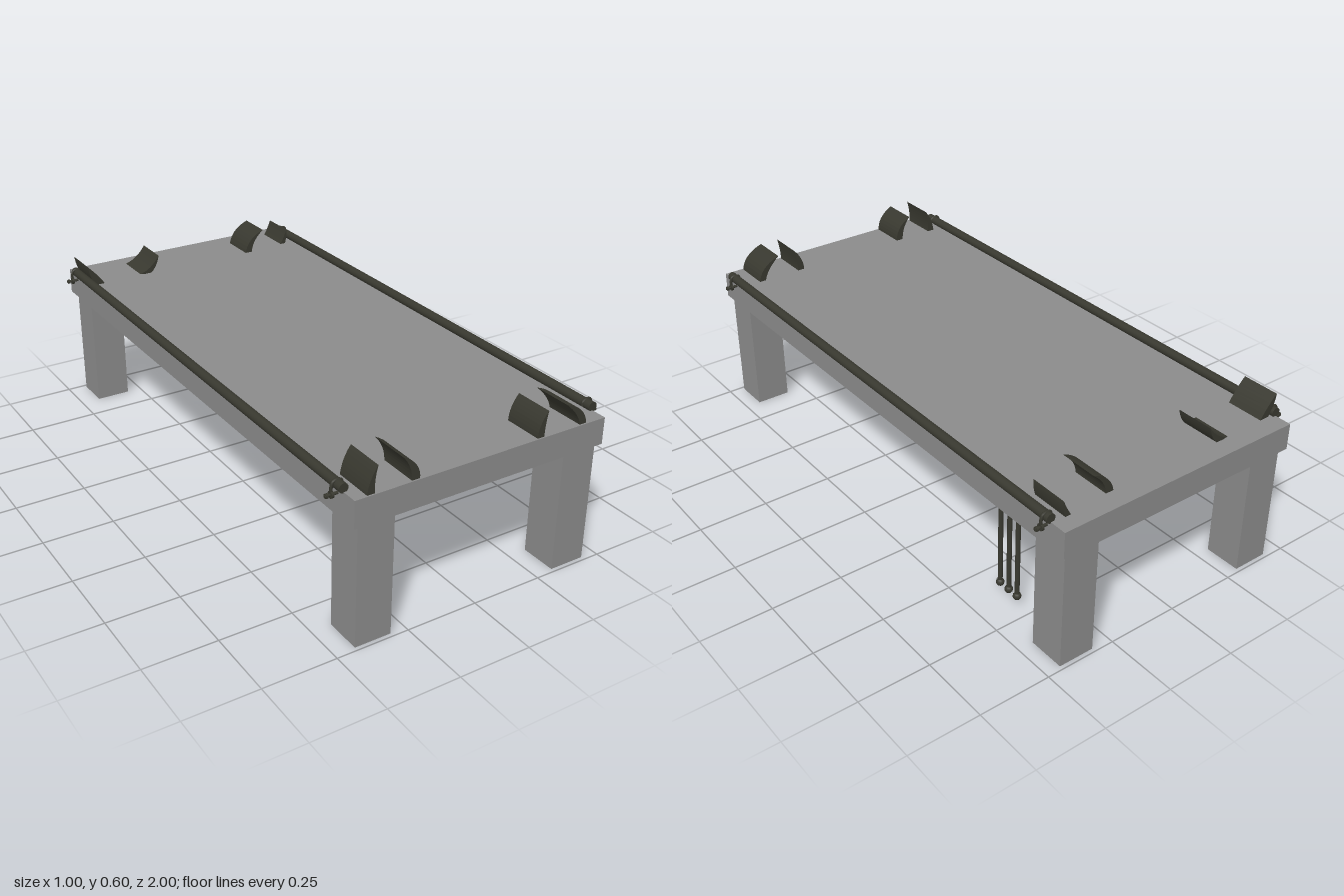
import * as THREE from 'three';

const grey = new THREE.MeshStandardMaterial({ color: 0x8a8a8a });
grey.name = 'stone grey';
const dark = new THREE.MeshStandardMaterial({ color: 0x38382f });
dark.name = 'dark metal';

function add(parent, name, geometry, material, x = 0, y = 0, z = 0) {
  const mesh = new THREE.Mesh(geometry, material);
  mesh.name = name;
  mesh.position.set(x, y, z);
  parent.add(mesh);
  return mesh;
}

// Curved, tapering restraint plate: profile in x/y, extruded along z.
// tip, upper control, two base points, lower control
function restraint(parent, name, [tip, c1, baseA, baseB, c2], z, depth) {
  const s = new THREE.Shape();
  s.moveTo(...tip);
  s.quadraticCurveTo(...c1, ...baseA);
  s.lineTo(...baseB);
  s.quadraticCurveTo(...c2, ...tip);
  const g = new THREE.ExtrudeGeometry(s, { depth, bevelEnabled: false, curveSegments: 8 });
  add(parent, name, g, dark, 0, 0, z);
}

// Hook that wraps over a side rail, with a bolt into the slab edge
function railBracket(parent, side, x, z) {
  const bracket = new THREE.Group();
  bracket.name = 'railBracket';
  bracket.position.set(x, 0, z);
  const path = new THREE.CatmullRomCurve3([
    [-0.014, 0.518], [-0.013, 0.532], [0, 0.538], [0.015, 0.535], [0.021, 0.52], [0.021, 0.492],
  ].map(([px, py]) => new THREE.Vector3(px * side, py, 0)));
  add(bracket, 'hook', new THREE.TubeGeometry(path, 18, 0.005, 8), dark);
  const bolt = (name, r, len, bx) => {
    add(bracket, name, new THREE.CylinderGeometry(r, r, len, 10), dark, bx * side, 0.495, 0).rotation.z = Math.PI / 2;
  };
  bolt('boltShaft', 0.005, 0.05, 0.018);
  bolt('boltWasher', 0.012, 0.008, 0.021);
  bolt('boltHead', 0.008, 0.007, 0.037);
  parent.add(bracket);
}

export function createModel() {
  const model = new THREE.Group();
  model.name = 'restraintTable';
  const cx = 0.005;

  // Slab and legs
  add(model, 'tableSlab', new THREE.BoxGeometry(0.912, 0.092, 2), grey, cx, 0.466, 0);
  for (const x of [-0.367, 0.382]) {
    for (const z of [-0.922, 0.922]) {
      add(model, 'leg', new THREE.BoxGeometry(0.126, 0.42, 0.128), grey, x, 0.21, z);
    }
  }

  // Side rails held by hooks
  for (const side of [-1, 1]) {
    const x = cx + side * 0.456;
    add(model, 'sideRail', new THREE.CylinderGeometry(0.016, 0.016, 1.885, 16), dark, x, 0.524, 0.003).rotation.x = Math.PI / 2;
    for (const z of [-0.922, 0.915]) railBracket(model, side, x, z);
  }

  // Open restraint plates, front pairs then back pairs
  const b = 0.508;
  const front = [
    [[-0.372, 0.598], [-0.402, 0.56], [-0.408, b], [-0.38, b], [-0.386, 0.55]],
    [[-0.291, 0.598], [-0.225, 0.565], [-0.229, b], [-0.256, b], [-0.256, 0.56]],
    [[0.234, 0.595], [0.198, 0.555], [0.199, b], [0.225, b], [0.222, 0.54]],
    [[0.304, 0.595], [0.383, 0.57], [0.39, b], [0.365, b], [0.358, 0.55]],
  ];
  const back = [
    [[-0.455, 0.587], [-0.42, 0.555], [-0.39, b], [-0.425, b], [-0.45, 0.54]],
    [[-0.161, 0.575], [-0.195, 0.525], [-0.242, 0.515], [-0.2, b], [-0.17, 0.53]],
    [[0.301, 0.595], [0.23, 0.57], [0.22, b], [0.249, b], [0.25, 0.555]],
    [[0.421, 0.569], [0.405, 0.53], [0.39, b], [0.412, b], [0.424, 0.54]],
  ];
  front.forEach((p) => restraint(model, 'frontRestraint', p, 0.86, 0.135));
  back.forEach((p, i) => restraint(model, 'backRestraint', p, [-0.93, -0.935, -0.93, -0.945][i], 0.133));

  // Three thin rods hanging beneath the slab
  for (const z of [-0.606, -0.65, -0.692]) {
    const rod = new THREE.Group();
    rod.name = 'hangingRod';
    rod.position.set(0.375, 0, z);
    add(rod, 'rodShaft', new THREE.CylinderGeometry(0.008, 0.008, 0.39, 12), dark, 0, 0.227, 0);
    add(rod, 'rodKnob', new THREE.SphereGeometry(0.014, 12, 8), dark, 0, 0.034, 0);
    add(rod, 'rodCollar', new THREE.CylinderGeometry(0.012, 0.012, 0.014, 12), dark, 0, 0.414, 0);
    model.add(rod);
  }
  return model;
}
